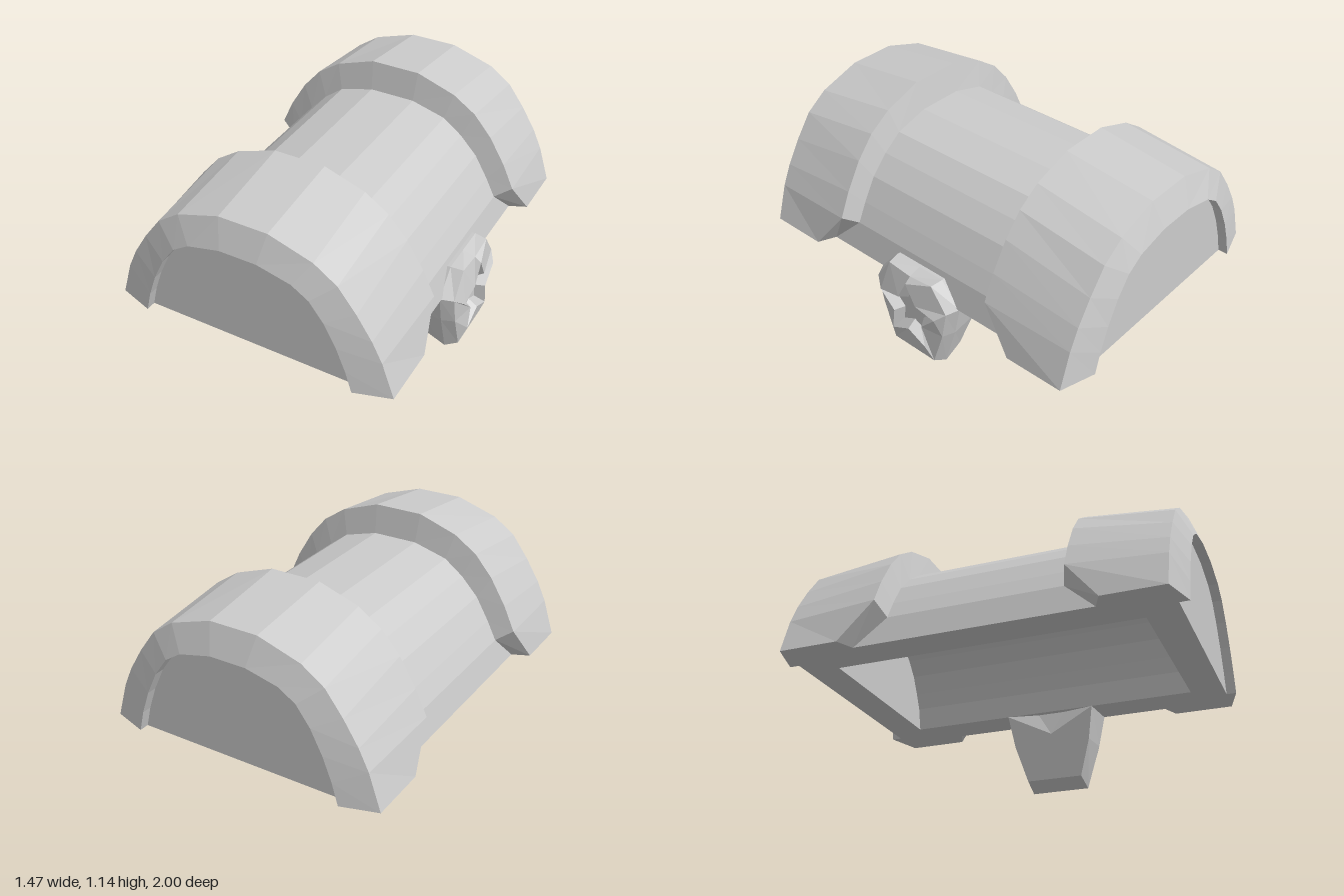
import * as THREE from 'three';

const material = new THREE.MeshStandardMaterial({ color: 0xcccccc, flatShading: true });
const BASE = 0.4;

// Skin a list of rings (arrays of Vector3) with flat quads, skipping collapsed triangles
function loft(rings, closed = false) {
  const pos = [];
  const tri = new THREE.Triangle();
  const add = (a, b, c) => {
    if (tri.set(a, b, c).getArea() > 1e-8) for (const p of [a, b, c]) pos.push(p.x, p.y, p.z);
  };
  for (let r = 0; r + 1 < rings.length; r++) {
    const a = rings[r], b = rings[r + 1], n = a.length;
    for (let i = 0; i < (closed ? n : n - 1); i++) {
      const j = (i + 1) % n;
      add(a[i], a[j], b[j]);
      add(a[i], b[j], b[i]);
    }
  }
  const g = new THREE.BufferGeometry();
  g.setAttribute('position', new THREE.Float32BufferAttribute(pos, 3));
  g.computeVertexNormals();
  return g;
}

// Half arches as [x, y], from the base up to the crown; the other half is mirrored
const barrelHalf = [[0.645, 0.4], [0.61, 0.55], [0.56, 0.65], [0.49, 0.77], [0.4, 0.865], [0.3, 0.94], [0.12, 0.99]];
const bandInnerHalf = [[0.735, 0.4], [0.695, 0.61], [0.635, 0.74], [0.55, 0.88], [0.455, 0.99], [0.335, 1.07], [0.13, 1.14]];
const bandOuterHalf = [[0.735, 0.4], [0.675, 0.585], [0.625, 0.69], [0.55, 0.81], [0.46, 0.93], [0.345, 1.01], [0.125, 1.08]];
const rimHalf = [[0.555, 0.4], [0.525, 0.51], [0.48, 0.63], [0.42, 0.75], [0.35, 0.845], [0.265, 0.9], [0.095, 0.94]];
const cavityHalf = barrelHalf.map(([x, y]) => [x * 0.715, BASE + (y - BASE) * 0.76]);

const fullArch = (half) => [...half, ...half.map(([x, y]) => [-x, y]).reverse()];

// Arch ring at depth z; the two foot points may sit at another depth
function archRing(half, z, footZ = z) {
  const pts = fullArch(half);
  return pts.map(([x, y], i) =>
    new THREE.Vector3(x, y, i === 0 || i === pts.length - 1 ? footZ : z));
}

function archPanel(half, z, facing) {
  const shape = new THREE.Shape(fullArch(half).map(([x, y]) => new THREE.Vector2(x, y)));
  const g = new THREE.ShapeGeometry(shape);
  if (facing < 0) g.rotateY(Math.PI);
  return g.translate(0, 0, z);
}

export function createModel() {
  const model = new THREE.Group();
  model.name = 'chestLid';
  const add = (name, geometry) => {
    const m = new THREE.Mesh(geometry, material);
    m.name = name;
    model.add(m);
  };

  // Arched barrel between the bands
  add('barrel', loft([archRing(barrelHalf, -0.445, -0.6), archRing(barrelHalf, 0.445, 0.6)]));

  // Flared end bands with bevelled rims and recessed end panels
  for (const s of [1, -1]) {
    const side = s > 0 ? 'front' : 'back';
    const rings = [
      archRing(barrelHalf, s * 0.445, s * 0.6),
      archRing(bandInnerHalf, s * 0.475, s * 0.64),
      archRing(bandOuterHalf, s * 0.945),
      archRing(rimHalf, s * 1.0),
      archRing(rimHalf, s * 0.95),
    ];
    add(side + 'Band', loft(s > 0 ? rings : rings.reverse()));
    add(side + 'EndPanel', archPanel(rimHalf, s * 0.95, s));
    add(side + 'CavityWall', archPanel(cavityHalf, s * 0.78, -s));
  }

  // Hollow underside
  add('cavityCeiling', loft([archRing(cavityHalf, 0.78), archRing(cavityHalf, -0.78)]));

  // Flat bottom frame around the opening
  const quarter = [[0.645, 0.6], [0.735, 0.64], [0.735, 0.945], [0.555, 1.0], [0.555, 0.95]];
  const frontEdge = [...quarter, ...quarter.map(([x, z]) => [-x, z]).reverse()];
  const outline = [...frontEdge, ...frontEdge.map(([x, z]) => [-x, -z])];
  const frame = new THREE.Shape(outline.map(([x, z]) => new THREE.Vector2(x, z)));
  const w = cavityHalf[0][0];
  frame.holes.push(new THREE.Path(
    [[-w, -0.78], [-w, 0.78], [w, 0.78], [w, -0.78]].map(([x, z]) => new THREE.Vector2(x, z))));
  add('bottomFrame', new THREE.ShapeGeometry(frame).rotateX(Math.PI / 2).translate(0, BASE, 0));

  // Latch: ten-point rings matched to the star, from the back out to the face
  // Each half ring runs from the top centre to the bottom centre as [z, y]
  const latchRing = (half, xAt) =>
    [...half, ...half.slice(1, -1).map(([z, y]) => [-z, y]).reverse()]
      .map(([z, y]) => new THREE.Vector3(xAt(y), y, z));
  const starRing = (scale, x) => Array.from({ length: 10 }, (_, i) => {
    const a = i * Math.PI / 5, r = (i % 2 ? 0.098 : 0.19) * scale;
    return new THREE.Vector3(x, 0.285 + Math.cos(a) * r, Math.sin(a) * r);
  });
  const backHalf = [[0, 0.51], [0.14, 0.51], [0.24, 0.4], [0.21, 0.23], [0.15, 0.04], [0, 0.04]];
  const bodyHalf = [[0, 0.52], [0.15, 0.52], [0.26, 0.395], [0.225, 0.23], [0.155, 0], [0, 0]];
  const faceHalf = [[0, 0.5], [0.14, 0.515], [0.23, 0.385], [0.2, 0.23], [0.135, 0.03], [0, 0.03]];
  const backX = (y) => (y > BASE ? 0.5 : 0.46 + (BASE - y) * 0.19);
  add('latch', loft([
    latchRing(backHalf.map(() => [0, 0.28]), backX),
    latchRing(backHalf, backX),
    latchRing(bodyHalf, () => 0.635),
    latchRing(faceHalf, () => 0.7),
    starRing(1, 0.735),
    starRing(0.68, 0.685),
    starRing(0, 0.685),
  ], true));

  return model;
}
